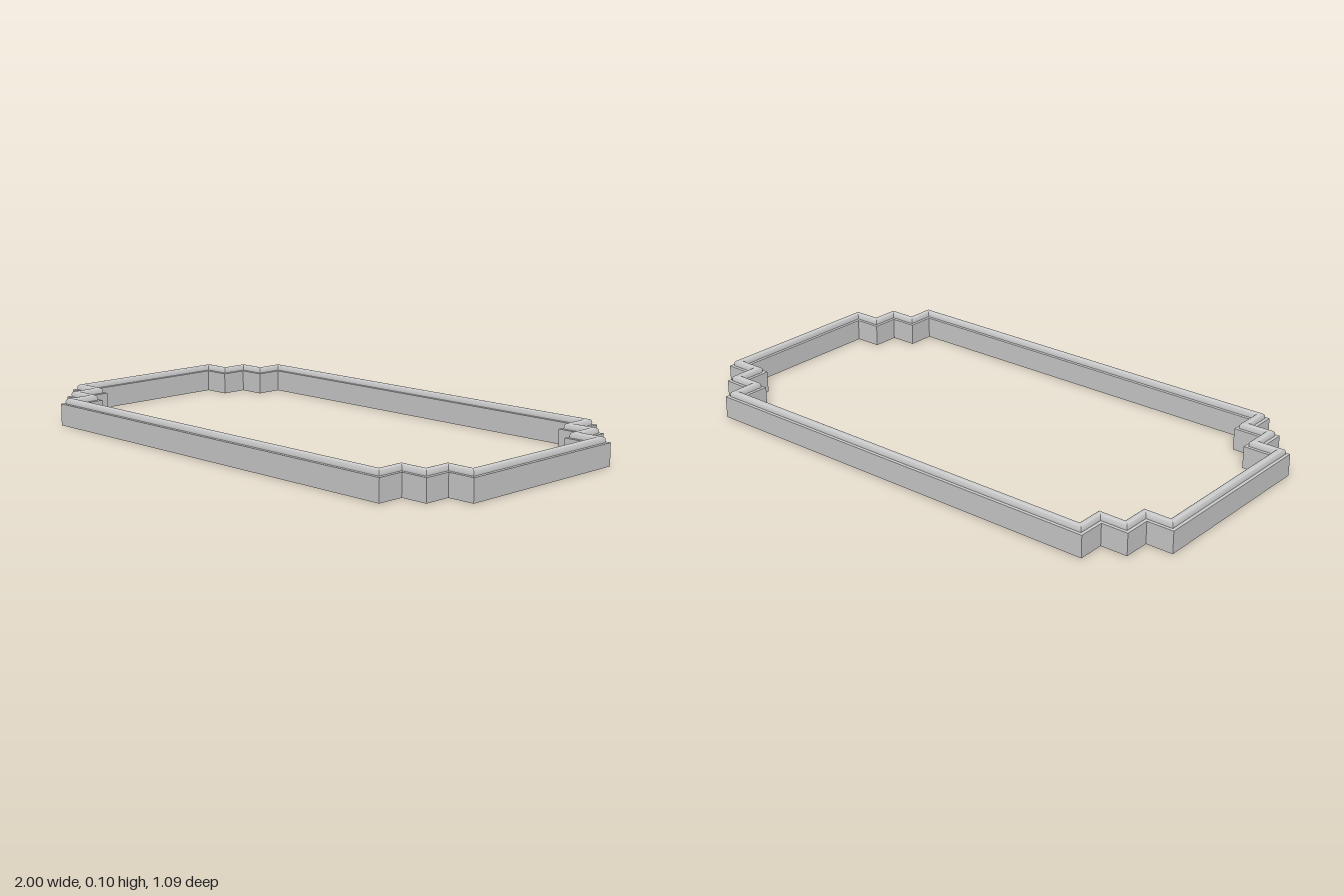
import * as THREE from 'three';
import { toCreasedNormals } from 'three/addons/utils/BufferGeometryUtils.js';

// Stepped corner outline in one quadrant; the other three are mirrored
const CORNER = [[0.8, 0.545], [0.8, 0.445], [0.9, 0.445], [0.9, 0.345], [1, 0.345]];

function outline() {
  const loop = [];
  for (const [sx, sz] of [[1, 1], [1, -1], [-1, -1], [-1, 1]]) {
    const pts = sx * sz > 0 ? CORNER : [...CORNER].reverse();
    for (const [x, z] of pts) loop.push({ x, z, sx, sz });
  }
  return loop;
}

// Sweep a closed profile of [inset, height] round the outline with mitred corners
function sweepFrame(profile) {
  const path = outline();
  const at = (c, [d, y]) => [(c.x - d) * c.sx, y, (c.z - d) * c.sz];
  const pos = [];
  path.forEach((c, i) => {
    const n = path[(i + 1) % path.length];
    profile.forEach((p, j) => {
      const q = profile[(j + 1) % profile.length];
      const A = at(c, p), B = at(n, p), C = at(n, q), D = at(c, q);
      pos.push(...A, ...B, ...C, ...A, ...C, ...D);
    });
  });
  const geo = new THREE.BufferGeometry();
  geo.setAttribute('position', new THREE.Float32BufferAttribute(pos, 3));
  return toCreasedNormals(geo, 0.6);
}

// Quarter round from angle a0 down to a1
function arc(cx, cy, r, a0, a1, n = 4) {
  return Array.from({ length: n + 1 }, (_, i) => {
    const a = a0 + (a1 - a0) * i / n;
    return [cx + r * Math.cos(a), cy + r * Math.sin(a)];
  });
}

export function createModel() {
  const group = new THREE.Group();
  group.name = 'steppedFrame';
  const material = new THREE.MeshStandardMaterial({ color: 0xcccccc });

  // Square wall with a raised, rounded bead along its top
  const width = 0.05, wallTop = 0.08, top = 0.1, ledge = 0.012, r = 0.01;
  const profile = [
    [0, 0], [0, wallTop], [ledge, wallTop],
    ...arc(ledge + r, top - r, r, Math.PI, Math.PI / 2),
    ...arc(width - ledge - r, top - r, r, Math.PI / 2, 0),
    [width - ledge, wallTop], [width, wallTop], [width, 0],
  ];
  const frame = new THREE.Mesh(sweepFrame(profile), material);
  frame.name = 'frameRail';
  group.add(frame);
  return group;
}
